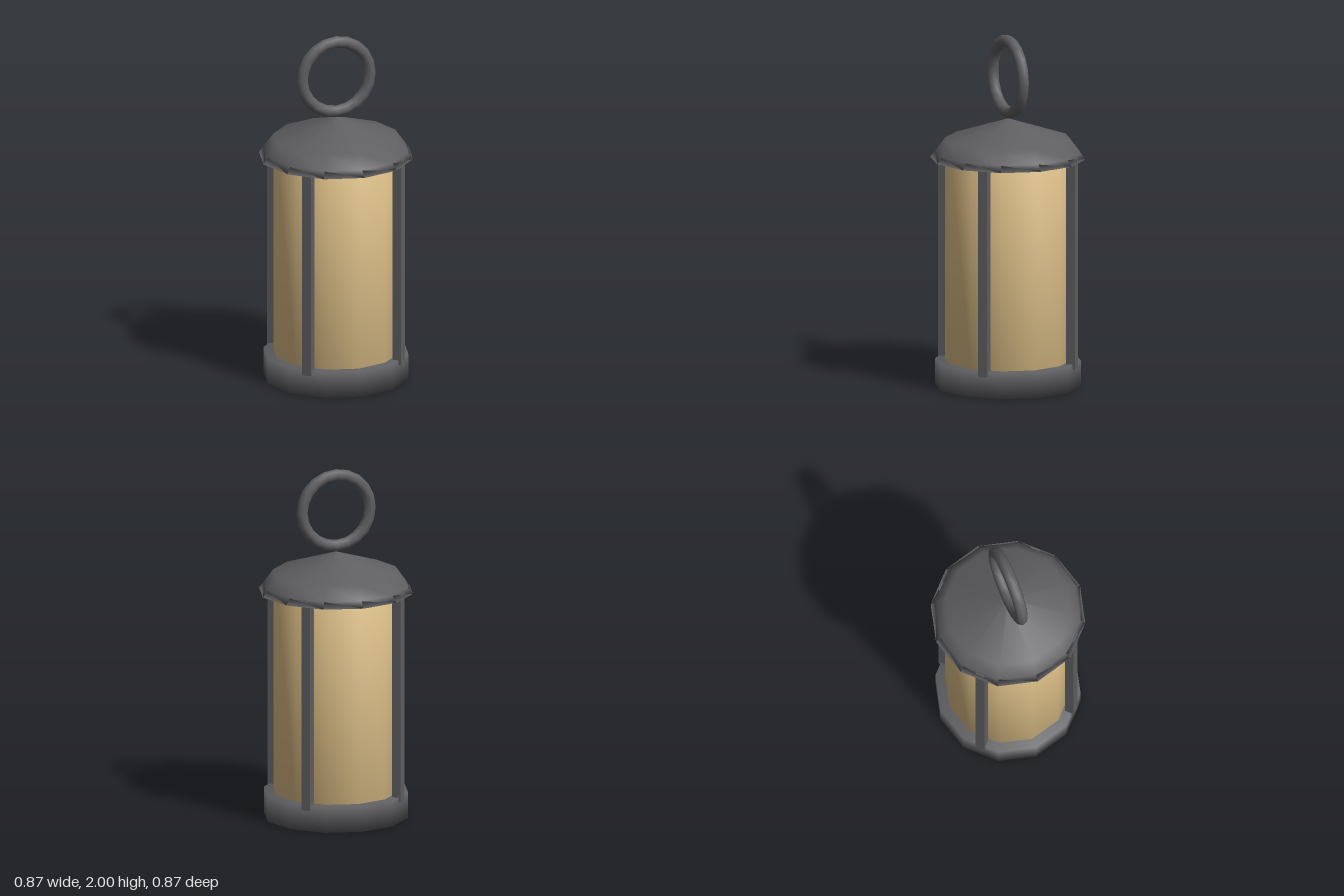
import * as THREE from 'three';

export function createModel() {
  const group = new THREE.Group();
  const iron = new THREE.MeshStandardMaterial({ color: 0x5f5f62 });
  iron.name = 'darkIron';
  const amber = new THREE.MeshStandardMaterial({ color: 0xdec088 });
  amber.name = 'amberGlass';

  const add = (name, geometry, material) => {
    const mesh = new THREE.Mesh(geometry, material);
    mesh.name = name;
    group.add(mesh);
    return mesh;
  };

  // Twelve-sided turned solid with soft normals; profile runs bottom to top as [radius, y]
  const turned = (profile) =>
    new THREE.LatheGeometry(profile.map(([r, y]) => new THREE.Vector2(r, y)), 12);

  // Foot, glass body and roof
  add('base', turned([[0, 0], [0.41, 0], [0.41, 0.148], [0, 0.148]]), iron);
  add('glass', turned([[0, 0.13], [0.355, 0.13], [0.355, 1.32], [0, 1.32]]), amber);
  add('roof', turned([[0, 1.297], [0.437, 1.297], [0.41, 1.334], [0.355, 1.408], [0, 1.525]]), iron);

  // Four square posts on the diagonals, sunk into base and roof
  const postGeometry = new THREE.BoxGeometry(0.053, 1.205, 0.053);
  for (let i = 0; i < 4; i++) {
    const angle = Math.PI / 4 + (i * Math.PI) / 2;
    const post = add('post' + (i + 1), postGeometry, iron);
    post.position.set(Math.sin(angle) * 0.383, 0.7225, Math.cos(angle) * 0.383);
    post.rotation.y = angle;
  }

  // Carrying ring standing on the roof tip
  const ring = add('handleRing', new THREE.TorusGeometry(0.204, 0.034, 8, 20), iron);
  ring.position.y = 1.762;

  return group;
}
